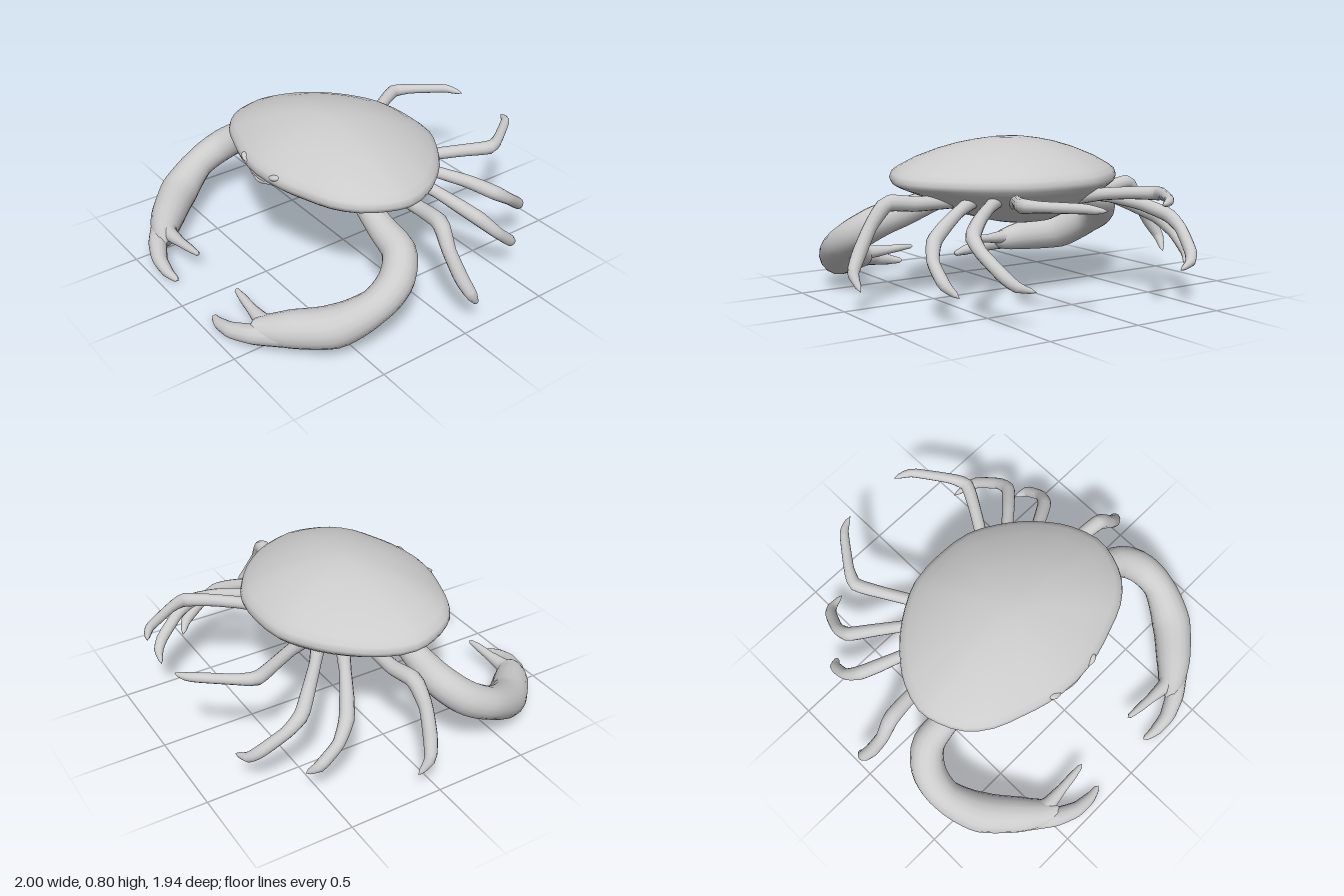
import * as THREE from 'three';
import { mergeVertices } from 'three/addons/utils/BufferGeometryUtils.js';

const material = new THREE.MeshStandardMaterial({ color: 0xcccccc });

function addMesh(parent, geometry, name) {
  const mesh = new THREE.Mesh(geometry, material);
  mesh.name = name;
  parent.add(mesh);
  return mesh;
}

// Round limb through stations [x, y, z, radius], closed at both ends; low tension keeps joints angular
function limb(stations, segments = 28, sides = 12, tension = 0.28) {
  const points = stations.map(([x, y, z]) => new THREE.Vector3(x, y, z));
  const curve = new THREE.CatmullRomCurve3(points, false, 'catmullrom', tension);
  const geo = new THREE.TubeGeometry(curve, segments, 1, sides);
  const pos = geo.attributes.position;
  const normal = geo.attributes.normal;
  const v = new THREE.Vector3();
  const n = new THREE.Vector3();
  for (let i = 0; i < pos.count; i++) {
    const u = Math.floor(i / (sides + 1)) / segments;
    const f = curve.getUtoTmapping(u) * (stations.length - 1);
    const k = Math.min(Math.floor(f), stations.length - 2);
    const r = u === 0 || u === 1 ? 0 : THREE.MathUtils.lerp(stations[k][3], stations[k + 1][3], f - k);
    n.fromBufferAttribute(normal, i);
    v.copy(curve.getPointAt(u)).addScaledVector(n, r);
    pos.setXYZ(i, v.x, v.y, v.z);
  }
  return geo;
}

// Shell: a lathe whose circular section is replaced by the carapace outline
function shellGeometry() {
  const half = [[0.18, 0.512], [0.32, 0.468], [0.46, 0.412], [0.57, 0.32], [0.632, 0.2], [0.655, 0.08],
    [0.61, -0.07], [0.55, -0.165], [0.45, -0.275], [0.33, -0.365], [0.19, -0.435]];
  const outline = new THREE.CatmullRomCurve3([
    [0, 0.535], ...half, [0, -0.455], ...half.map(([x, z]) => [-x, z]).reverse(),
  ].map(([x, z]) => new THREE.Vector3(x, 0, z)), true);

  const profile = [[0, 0.38], [0.25, 0.388], [0.4, 0.415], [0.61, 0.475], [0.8, 0.525], [0.93, 0.557],
    [0.985, 0.575], [1, 0.597], [0.985, 0.625], [0.93, 0.65], [0.8, 0.695], [0.61, 0.742],
    [0.45, 0.772], [0.3, 0.792], [0.15, 0.806], [0, 0.81]];
  const segments = 48;
  const geo = new THREE.LatheGeometry(profile.map(([s, y]) => new THREE.Vector2(s, y)), segments);
  const pos = geo.attributes.position;
  for (let i = 0; i < pos.count; i++) {
    const [s, y] = profile[i % profile.length];
    const column = Math.floor(i / profile.length) % segments;
    const edge = outline.getPoint(column / segments);
    const below = y < 0.59;
    const z = (below ? 0.07 - 0.1 * (1 - s) : 0.07) + s * (edge.z - 0.07);
    // The belly is fuller lengthwise and the rim rises toward the front
    const along = Math.abs(Math.cos((column / segments) * Math.PI * 2));
    const belly = below ? 0.045 * along * Math.sin(Math.PI * s) * Math.min(1, s / 0.6) : 0;
    pos.setXYZ(i, s * edge.x, y - belly + 0.03 * s * Math.max(0, z / 0.53), z);
  }
  geo.deleteAttribute('uv');
  geo.deleteAttribute('normal');
  const merged = mergeVertices(geo, 1e-5);
  merged.computeVertexNormals();
  return merged;
}

// Walking legs from front to back, on the +x side
const legs = [
  [[0.38, 0.5, -0.02, 0.035], [0.61, 0.505, -0.03, 0.038], [0.765, 0.517, -0.012, 0.042],
    [0.85, 0.41, 0, 0.034], [0.925, 0.285, -0.02, 0.036], [0.972, 0.2, -0.05, 0.03], [0.96, 0.115, -0.105, 0.008]],
  [[0.32, 0.53, -0.14, 0.04], [0.48, 0.48, -0.22, 0.03], [0.6, 0.425, -0.285, 0.036], [0.695, 0.37, -0.345, 0.038],
    [0.745, 0.29, -0.42, 0.03], [0.745, 0.2, -0.52, 0.03], [0.695, 0.14, -0.57, 0.008]],
  [[0.25, 0.53, -0.23, 0.04], [0.38, 0.5, -0.33, 0.03], [0.5, 0.465, -0.435, 0.034], [0.6, 0.41, -0.535, 0.038],
    [0.61, 0.35, -0.62, 0.031], [0.567, 0.255, -0.74, 0.032], [0.525, 0.21, -0.785, 0.026], [0.435, 0.18, -0.81, 0.006]],
  [[0.17, 0.5, -0.25, 0.04], [0.26, 0.53, -0.4, 0.032], [0.34, 0.545, -0.53, 0.032], [0.408, 0.552, -0.66, 0.036],
    [0.372, 0.555, -0.75, 0.027], [0.255, 0.557, -0.915, 0.024], [0.21, 0.55, -0.95, 0.018], [0.16, 0.545, -0.973, 0.007]],
];

function buildLimbs() {
  const side = new THREE.Group();
  legs.forEach((stations, i) => addMesh(side, limb(stations), `walkingLeg${i + 1}`));

  // Claw arm with swollen palm
  const claw = new THREE.Group();
  claw.name = 'claw';
  addMesh(claw, limb([
    [0.26, 0.54, 0.13, 0.05], [0.4, 0.495, 0.155, 0.06], [0.56, 0.442, 0.172, 0.072], [0.71, 0.4, 0.19, 0.085],
    [0.8, 0.325, 0.28, 0.088], [0.818, 0.25, 0.42, 0.084], [0.745, 0.168, 0.59, 0.105], [0.6, 0.13, 0.745, 0.092],
    [0.49, 0.1, 0.83, 0.066], [0.42, 0.09, 0.865, 0.03],
  ], 40, 16, 0.45), 'clawArm');
  // Upper inner finger and lower outer finger
  addMesh(claw, limb([
    [0.6, 0.14, 0.76, 0.06], [0.47, 0.12, 0.808, 0.042], [0.36, 0.12, 0.805, 0.027],
    [0.25, 0.128, 0.797, 0.02], [0.18, 0.13, 0.79, 0.01],
  ]), 'upperFinger');
  addMesh(claw, limb([
    [0.6, 0.11, 0.78, 0.06], [0.47, 0.08, 0.88, 0.05], [0.36, 0.055, 0.928, 0.04],
    [0.26, 0.035, 0.936, 0.029], [0.18, 0.022, 0.922, 0.012],
  ]), 'lowerFinger');
  side.add(claw);

  // Low eye bump above the mouth corner
  const eye = addMesh(side, new THREE.SphereGeometry(1, 14, 10), 'eye');
  eye.scale.set(0.04, 0.016, 0.026);
  eye.position.set(0.125, 0.642, 0.505);
  eye.rotation.z = 0.3;
  return side;
}

export function createModel() {
  const crab = new THREE.Group();
  crab.name = 'crab';
  addMesh(crab, shellGeometry(), 'shell');

  // Mouth: two lips meeting at pointed corners around a shallow plate
  const plate = addMesh(crab, new THREE.SphereGeometry(1, 20, 12), 'mouthPlate');
  plate.scale.set(0.1, 0.02, 0.025);
  plate.position.set(0, 0.597, 0.503);
  for (const [name, y] of [['upperLip', 0.622], ['lowerLip', 0.575]]) {
    const cheekY = (y + 0.6) / 2 + 0.004;
    addMesh(crab, limb([
      [-0.14, 0.6, 0.495, 0.005], [-0.07, cheekY, 0.512, 0.01], [0, y, 0.518, 0.012],
      [0.07, cheekY, 0.512, 0.01], [0.14, 0.6, 0.495, 0.005],
    ], 20, 8, 0.5), name);
  }

  // Limbs on both sides
  const left = buildLimbs();
  left.name = 'leftSide';
  const right = left.clone();
  right.name = 'rightSide';
  right.scale.x = -1;
  crab.add(left, right);
  return crab;
}
